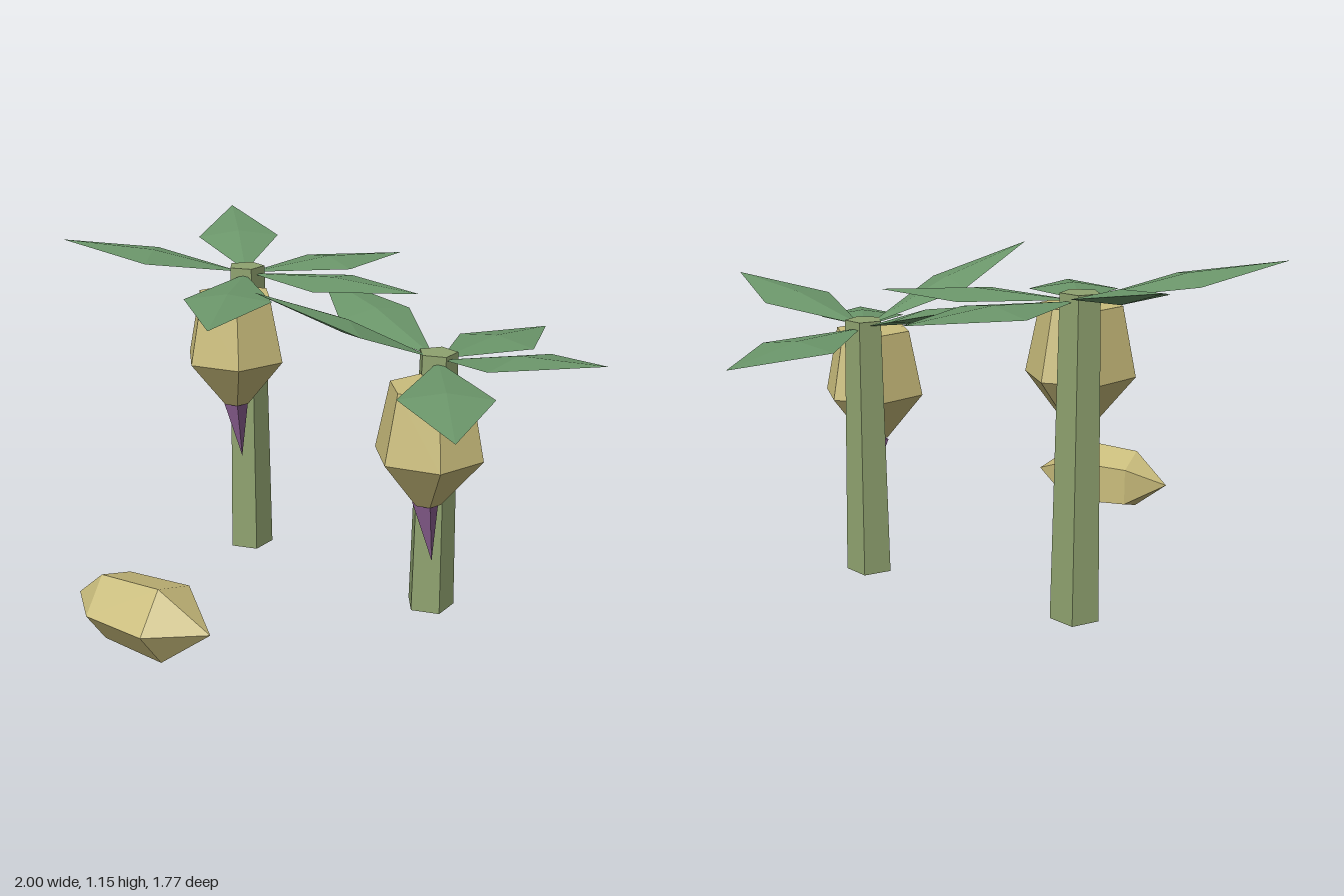
import * as THREE from 'three';

const paint = (name, color) => {
  const m = new THREE.MeshStandardMaterial({ color, flatShading: true });
  m.name = name;
  return m;
};

export function createModel() {
  const trunkGreen = paint('trunk green', 0x8fa26f);
  const leafGreen = paint('leaf green', 0x6b966a);
  const fruitYellow = paint('fruit yellow', 0xcabd7c);
  const budPurple = paint('bud purple', 0x8a5f90);

  const add = (parent, name, geometry, material, x = 0, y = 0, z = 0) => {
    const mesh = new THREE.Mesh(geometry, material);
    mesh.name = name;
    mesh.position.set(x, y, z);
    parent.add(mesh);
    return mesh;
  };
  const lathe = (profile, sides) =>
    new THREE.LatheGeometry(profile.map(([r, y]) => new THREE.Vector2(r, y)), sides);

  // Leaf: a flattened diamond stretched from the crown to its tip
  const addLeaf = (parent, root, tip) => {
    const dir = tip.clone().sub(root);
    const start = root.clone().addScaledVector(dir, 0.03);
    const mid = start.clone().add(tip).multiplyScalar(0.5);
    const leaf = add(parent, 'leaf', new THREE.OctahedronGeometry(1), leafGreen, mid.x, mid.y, mid.z);
    leaf.scale.set(0.147, 0.022, start.distanceTo(tip) / 2);
    leaf.lookAt(tip);
  };

  // Tree: five-sided trunk, five leaves, hanging fruit cluster and bud
  const addTree = (parent, name, x, z, height, tips) => {
    const tree = new THREE.Group();
    tree.name = name;
    add(tree, 'trunk', new THREE.CylinderGeometry(0.065, 0.082, height, 5), trunkGreen, x, height / 2, z);

    const root = new THREE.Vector3(x, height - 0.025, z);
    for (const tip of tips) addLeaf(tree, root, new THREE.Vector3(...tip));

    const fx = x + 0.102, fz = z + 0.118, fy = height - 0.288;
    const cluster = [[0, -0.165], [0.046, -0.165], [0.179, 0], [0.133, 0.224], [0, 0.224]];
    add(tree, 'fruitCluster', lathe(cluster, 6), fruitYellow, fx, fy, fz);

    const bud = new THREE.ConeGeometry(0.05, 0.195, 3);
    bud.rotateX(Math.PI);
    bud.translate(0, -0.0975, 0);
    add(tree, 'bud', bud, budPurple, fx, fy - 0.164, fz).rotation.z = 0.16;
    parent.add(tree);
  };

  const model = new THREE.Group();
  model.name = 'fruitTrees';

  addTree(model, 'tallTree', -0.437, -0.055, 1.053, [
    [-1.0, 1.155, -0.37], [-0.374, 1.03, -0.71], [0.16, 1.025, -0.34],
    [0.027, 0.99, 0.40], [-0.84, 1.14, 0.442],
  ]);
  addTree(model, 'shortTree', 0.354, -0.252, 0.888, [
    [0.21, 0.84, -0.895], [0.995, 0.984, -0.31], [0.87, 0.815, 0.144],
    [0.144, 1.12, 0.305], [-0.28, 1.02, -0.27],
  ]);

  // Fallen fruit: five-sided spindle lying on its side
  const spindle = [[0, 0], [0.115, 0.133], [0.13, 0.361], [0, 0.522]];
  add(model, 'fallenFruit', lathe(spindle, 5), fruitYellow, -0.123, 0.171, 0.807)
    .rotation.set(0, 0.343, -Math.PI / 2);

  return model;
}
